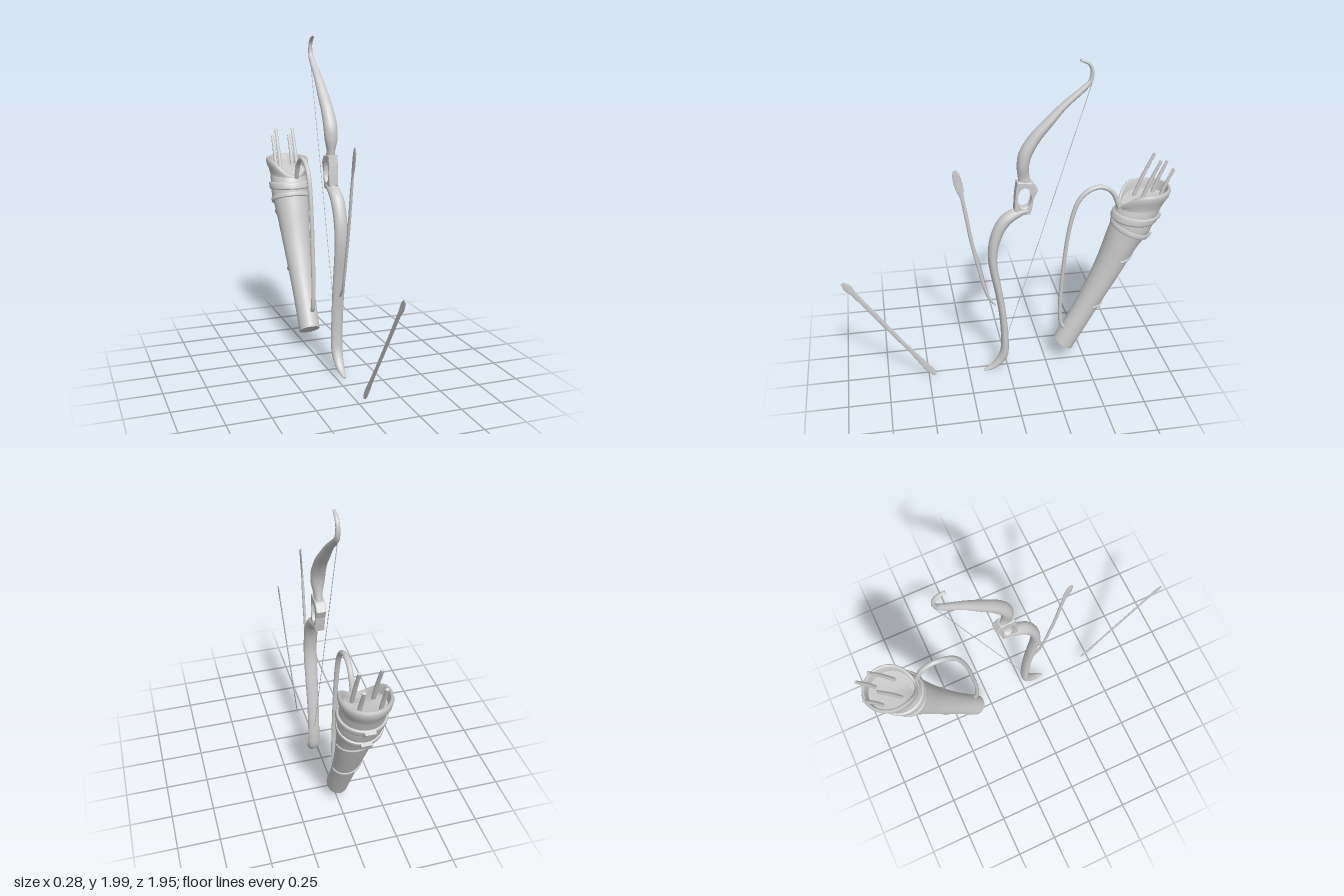
import * as THREE from 'three';

const material = new THREE.MeshStandardMaterial({ color: 0xcccccc, side: THREE.DoubleSide });
const BOW_X = 0.045;
const V = (x, y, z) => new THREE.Vector3(x, y, z);
const spline = (pts) => new THREE.CatmullRomCurve3(pts, false, 'catmullrom', 0.5);

function add(parent, name, geometry) {
  const mesh = new THREE.Mesh(geometry, material);
  mesh.name = name;
  parent.add(mesh);
  return mesh;
}

// Skin over a list of rings, with flat end caps
function loft(rings, caps = true) {
  const pos = [], index = [], n = rings[0].length;
  rings.forEach((r) => r.forEach((p) => pos.push(p.x, p.y, p.z)));
  for (let i = 0; i < rings.length - 1; i++) {
    for (let j = 0; j < n; j++) {
      const a = i * n + j, b = i * n + (j + 1) % n;
      index.push(a, b, a + n, b, b + n, a + n);
    }
  }
  if (caps) {
    [rings[0], rings[rings.length - 1]].forEach((r, end) => {
      const base = pos.length / 3, mid = V(0, 0, 0);
      r.forEach((p) => { pos.push(p.x, p.y, p.z); mid.addScaledVector(p, 1 / n); });
      pos.push(mid.x, mid.y, mid.z);
      for (let j = 0; j < n; j++) {
        const a = base + j, b = base + (j + 1) % n;
        index.push(base + n, end ? a : b, end ? b : a);
      }
    });
  }
  const g = new THREE.BufferGeometry();
  g.setAttribute('position', new THREE.Float32BufferAttribute(pos, 3));
  g.setIndex(index);
  g.computeVertexNormals();
  return g;
}

// Ellipse around c: half width w along x, half axis p in the side plane, dip lowers the front
const point = (c, p, w, a, dip = 0) => V(c.x + w * Math.cos(a), c.y, c.z)
  .addScaledVector(p, Math.sin(a)).add(V(0, -dip * Math.max(0, -Math.sin(a)) ** 3, 0));
function ring(c, p, w, n, dip) {
  return Array.from({ length: n }, (_, j) => point(c, p, w, (j / n) * Math.PI * 2, dip));
}

// Bent limb from rows of [z, y, half thickness, half width]
function limb(rows, x, steps = 70, n = 20) {
  const path = spline(rows.map(([z, y]) => V(x, y, z)));
  const size = spline(rows.map(([, , h, w]) => V(h, w, 0)));
  const rings = [];
  for (let i = 0; i <= steps; i++) {
    const t = path.getTangent(i / steps), s = size.getPoint(i / steps);
    rings.push(ring(path.getPoint(i / steps), V(0, t.z, -t.y).multiplyScalar(s.x), s.y, n));
  }
  return loft(rings);
}

// Plate drawn in the side plane (z, y), centred on the bow's plane
function plate(shape, depth, bevel) {
  return new THREE.ExtrudeGeometry(shape, {
    depth, bevelEnabled: true, bevelSize: bevel, bevelThickness: bevel, bevelSegments: 3, curveSegments: 24,
  }).translate(0, 0, -depth / 2).rotateY(-Math.PI / 2).translate(BOW_X, 0, 0);
}

function makeBow() {
  const bow = new THREE.Group();
  bow.name = 'bow';
  add(bow, 'lowerLimb', limb([
    [0.155, 0.013, 0.006, 0.008], [0.09, 0.045, 0.018, 0.024], [0.037, 0.11, 0.027, 0.033],
    [0.022, 0.2, 0.024, 0.036], [0.032, 0.39, 0.022, 0.036], [0.058, 0.575, 0.022, 0.038],
    [0.09, 0.76, 0.025, 0.04], [0.093, 0.87, 0.029, 0.04], [0.07, 0.98, 0.033, 0.04],
    [0.02, 1.07, 0.035, 0.04], [-0.06, 1.12, 0.028, 0.035], [-0.115, 1.135, 0.022, 0.03],
  ], BOW_X));
  add(bow, 'upperLimb', limb([
    [-0.095, 1.285, 0.038, 0.025], [-0.085, 1.34, 0.033, 0.025], [-0.08, 1.405, 0.035, 0.038],
    [-0.095, 1.48, 0.037, 0.041], [-0.148, 1.57, 0.033, 0.037], [-0.222, 1.655, 0.027, 0.033],
    [-0.305, 1.745, 0.02, 0.025], [-0.41, 1.835, 0.016, 0.018], [-0.447, 1.88, 0.012, 0.014],
    [-0.452, 1.935, 0.01, 0.012], [-0.43, 1.973, 0.009, 0.011], [-0.385, 1.993, 0.006, 0.008],
  ], BOW_X));

  // Open grip with the arrow shelf at the back
  const grip = new THREE.Shape([
    [-0.05, 1.31], [-0.042, 1.25], [-0.038, 1.2], [-0.036, 1.14], [-0.07, 1.115], [-0.118, 1.115],
    [-0.128, 1.16], [-0.136, 1.21], [-0.158, 1.26], [-0.13, 1.3],
  ].map(([z, y]) => new THREE.Vector2(z, y)));
  const hole = new THREE.Path();
  hole.absellipse(-0.088, 1.212, 0.04, 0.066, 0, Math.PI * 2, true);
  grip.holes.push(hole);
  add(bow, 'grip', plate(grip, 0.045, 0.006));

  add(bow, 'string', new THREE.TubeGeometry(
    new THREE.LineCurve3(V(BOW_X, 1.865, -0.455), V(BOW_X, 0.27, 0.005)), 1, 0.002, 6));
  return bow;
}

// Loose arrows: slim blades lying in the bow's plane
function makeArrows() {
  const arrows = new THREE.Group();
  arrows.name = 'looseArrows';
  add(arrows, 'nearArrow', limb([
    [0.3, 1.405, 0.01, 0.003], [0.295, 1.37, 0.021, 0.004], [0.28, 1.3, 0.023, 0.004],
    [0.265, 1.235, 0.012, 0.006], [0.25, 1.15, 0.011, 0.008], [0.216, 0.945, 0.011, 0.008],
    [0.158, 0.68, 0.01, 0.008], [0.122, 0.56, 0.009, 0.007], [0.08, 0.495, 0.005, 0.006],
  ], BOW_X, 50, 12));
  add(arrows, 'farArrow', limb([
    [0.97, 0.745, 0.012, 0.003], [0.945, 0.712, 0.024, 0.003], [0.915, 0.67, 0.017, 0.004],
    [0.88, 0.62, 0.016, 0.004], [0.75, 0.43, 0.015, 0.004], [0.6, 0.215, 0.015, 0.004],
    [0.51, 0.085, 0.022, 0.003], [0.475, 0.038, 0.018, 0.003], [0.463, 0.018, 0.007, 0.003],
  ], BOW_X, 50, 12));
  return arrows;
}

function makeQuiver() {
  const quiver = new THREE.Group();
  quiver.name = 'quiver';

  // Body rows: [z, y, half axis z, half axis y, half width]
  const rows = [
    [-0.36, 0.14, -0.057, -0.04, 0.065], [-0.49, 0.39, -0.061, -0.032, 0.072],
    [-0.614, 0.65, -0.073, -0.036, 0.09], [-0.7, 0.86, -0.09, -0.045, 0.11],
    [-0.745, 0.95, -0.107, -0.045, 0.122], [-0.77, 1.03, -0.126, -0.015, 0.121],
    [-0.795, 1.09, -0.135, 0.008, 0.118],
  ];
  const centre = spline(rows.map(([z, y]) => V(0, y, z)));
  const axis = spline(rows.map(([, , pz, py, w]) => V(w, py, pz)));
  const skin = (t, a, grow = 1) => {
    const s = axis.getPoint(t);
    return point(centre.getPoint(t), V(0, s.y, s.z).multiplyScalar(grow), s.x * grow, a);
  };
  const N = 48;
  const rings = [];
  for (let i = 0; i <= 40; i++) {
    rings.push(Array.from({ length: N }, (_, j) => skin(i / 40, (j / N) * Math.PI * 2)));
  }
  add(quiver, 'body', loft(rings));

  // Rolled collar, dipping at the front, with the inner wall and floor
  const collar = [
    [-0.795, 1.085, 0.134, 0.117, 0], [-0.806, 1.12, 0.141, 0.123, 0.04], [-0.814, 1.145, 0.15, 0.134, 0.08],
    [-0.818, 1.175, 0.153, 0.14, 0.09], [-0.818, 1.192, 0.149, 0.136, 0.095],
    [-0.818, 1.197, 0.141, 0.128, 0.095], [-0.818, 1.185, 0.133, 0.12, 0.09],
    [-0.812, 1.13, 0.128, 0.114, 0.05],
  ].map(([z, y, d, w, dip]) => ring(V(0, y, z), V(0, 0.006, -d), w, N, dip));
  add(quiver, 'collar', loft(collar));

  // Two straps around the mouth, each with a buckle at the back
  [
    ['upperBand', -0.768, 1.02, -0.13, -0.012, 0.126, 0.022],
    ['lowerBand', -0.742, 0.935, -0.107, -0.045, 0.121, 0.014],
  ].forEach(([name, z, y, pz, py, w, h]) => {
    const profile = [[-1, 0.94], [-1, 1.03], [-0.6, 1.06], [0.6, 1.06], [1, 1.03], [1, 0.94]];
    add(quiver, name, loft(profile.map(([k, s]) =>
      ring(V(0, y + k * h, z - k * h * 0.4), V(0, py * s, pz * s), w * s, N)), false));
    const buckle = add(quiver, name + 'Buckle', new THREE.BoxGeometry(0.06, 0.035, 0.022));
    buckle.position.set(0, y + py * 1.05, z + pz * 1.08);
    buckle.rotation.x = -0.45;
  });

  // Wrapped seams across the back
  [['upperSeam', 0.46, 0.1], ['lowerSeam', 0.22, 0.05]].forEach(([name, t, rise]) => {
    const pts = Array.from({ length: 13 }, (_, i) =>
      skin(t + rise * (i / 12 - 0.5), Math.PI * (0.05 + 0.9 * i / 12), 1.0));
    add(quiver, name, new THREE.TubeGeometry(spline(pts), 40, 0.008, 8));
  });

  // Carrying strap arching in front
  add(quiver, 'carryingStrap', limb([
    [-0.665, 1.08, 0.014, 0.015], [-0.625, 1.175, 0.014, 0.015], [-0.575, 1.215, 0.014, 0.015],
    [-0.52, 1.222, 0.014, 0.015], [-0.45, 1.185, 0.014, 0.015], [-0.4, 1.1, 0.013, 0.015],
    [-0.362, 0.92, 0.012, 0.014], [-0.338, 0.65, 0.012, 0.014], [-0.328, 0.44, 0.012, 0.014],
    [-0.338, 0.3, 0.013, 0.014], [-0.375, 0.25, 0.013, 0.014],
  ], 0.017, 70, 12));

  // Four arrow shafts standing in the mouth
  for (const side of [-1, 1]) {
    [[-0.765, 1.09, -0.882, 1.38], [-0.875, 1.09, -0.963, 1.325]].forEach(([z0, y0, z1, y1]) => {
      const x = side * 0.057;
      add(quiver, 'arrowShaft', limb([
        [z0, y0, 0.01, 0.012], [(z0 + z1) / 2 + 0.006, (y0 + y1) / 2, 0.01, 0.012], [z1, y1, 0.008, 0.01],
      ], x, 8, 12));
    });
  }
  return quiver;
}

export function createModel() {
  const model = new THREE.Group();
  model.name = 'bowAndQuiver';
  model.add(makeBow(), makeArrows(), makeQuiver());
  return model;
}
